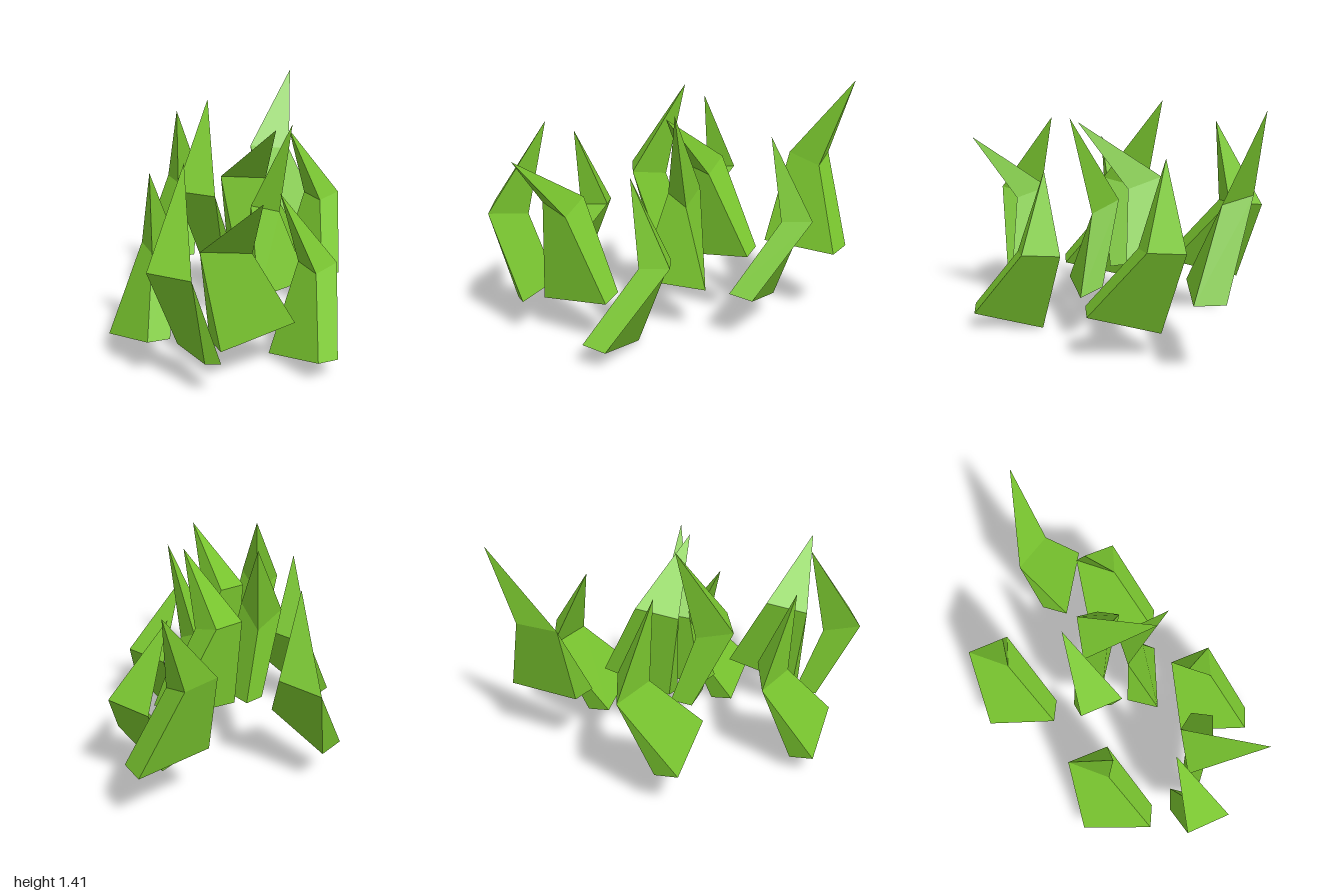
import * as THREE from 'three';

const material = new THREE.MeshStandardMaterial({ color: 0x7ac72f, side: THREE.DoubleSide });

// One faceted leaf: four-cornered base, three-cornered waist, pointed tip.
// Corners run counter-clockwise from above; waist corner 2 closes over base corners 2 and 3.
function blade(name, base, waist, tip, offset = [0, 0, 0]) {
  const [a, b, c, d, p, q, r, t] = [...base, ...waist, tip].map((v) => new THREE.Vector3(...v));
  const faces = [
    [a, b, q, p], [b, c, r, q], [c, d, r], [d, a, p, r], // lower sides
    [p, q, t], [q, r, t], [r, p, t], // point
    [a, d, c, b], // underside
  ];
  const positions = [];
  const normals = [];
  for (const [v0, v1, v2, v3] of faces) {
    // One flat normal per face, so slightly bent quads still read as single facets
    const across = (v3 ?? v0).clone().sub(v1);
    const normal = v2.clone().sub(v0).cross(across).normalize();
    const corners = v3 ? [v0, v1, v2, v0, v2, v3] : [v0, v1, v2];
    for (const corner of corners) {
      positions.push(...corner.toArray());
      normals.push(...normal.toArray());
    }
  }
  const geometry = new THREE.BufferGeometry();
  geometry.setAttribute('position', new THREE.Float32BufferAttribute(positions, 3));
  geometry.setAttribute('normal', new THREE.Float32BufferAttribute(normals, 3));
  const mesh = new THREE.Mesh(geometry, material);
  mesh.name = name;
  mesh.position.set(...offset);
  return mesh;
}

// Outward-leaning leaf, shared by the front and back blades
const leanBase = [[-0.24, 0.13, 0.85], [-0.10, 0.11, 0.87], [-0.06, 0, 0.46], [-0.20, 0.025, 0.44]];
const leanWaist = [[0, 0.51, 0.61], [0.18, 0.53, 0.61], [0.11, 0.49, 0.375]];

// Four leaves around a clump
function clump(name) {
  const group = new THREE.Group();
  group.name = name;
  group.add(
    blade('frontBlade', leanBase, leanWaist, [-0.11, 0.965, 0.43]),
    blade('backBlade', leanBase, leanWaist, [-0.02, 0.99, 0.635], [-0.63, 0.105, -0.67]),
    blade('innerBlade',
      [[-0.19, 0.28, 0.63], [-0.17, 0.30, 0.49], [-0.61, 0.24, 0.39], [-0.63, 0.21, 0.50]],
      [[-0.45, 0.74, 0.555], [-0.42, 0.81, 0.365], [-0.67, 0.76, 0.39]],
      [-0.63, 1.11, 0.81]),
    blade('sideBlade',
      [[-0.64, 0.25, 0.32], [-0.77, 0.24, 0.31], [-0.78, 0.21, 0.54], [-0.72, 0.21, 0.60]],
      [[-0.78, 0.67, 0.36], [-1.00, 0.73, 0.36], [-0.91, 0.73, 0.60]],
      [-0.68, 1.22, 0.29]),
  );
  return group;
}

export function createModel() {
  const model = new THREE.Group();
  model.name = 'grassTuft';

  // Matching clumps, the second further back and higher
  const front = clump('frontClump');
  const back = clump('backClump');
  back.position.set(0.67, 0.157, -0.56);
  model.add(front, back);

  // Single leaves filling the gaps
  model.add(
    blade('middleBlade',
      [[0.29, 0.29, 0.29], [0.24, 0.33, 0.15], [-0.07, 0.33, 0.09], [-0.12, 0.30, 0.28]],
      [[0.14, 0.745, 0.19], [0.18, 0.83, 0.04], [0, 0.79, 0.09]],
      [0.11, 1.30, 0.31]),
    blade('outerBlade',
      [[0.95, 0.42, -0.17], [1.00, 0.43, -0.33], [0.56, 0.44, -0.42], [0.51, 0.43, -0.27]],
      [[0.81, 0.91, -0.36], [0.84, 0.96, -0.52], [0.60, 0.94, -0.52]],
      [0.98, 1.41, -0.52]),
  );
  return model;
}
